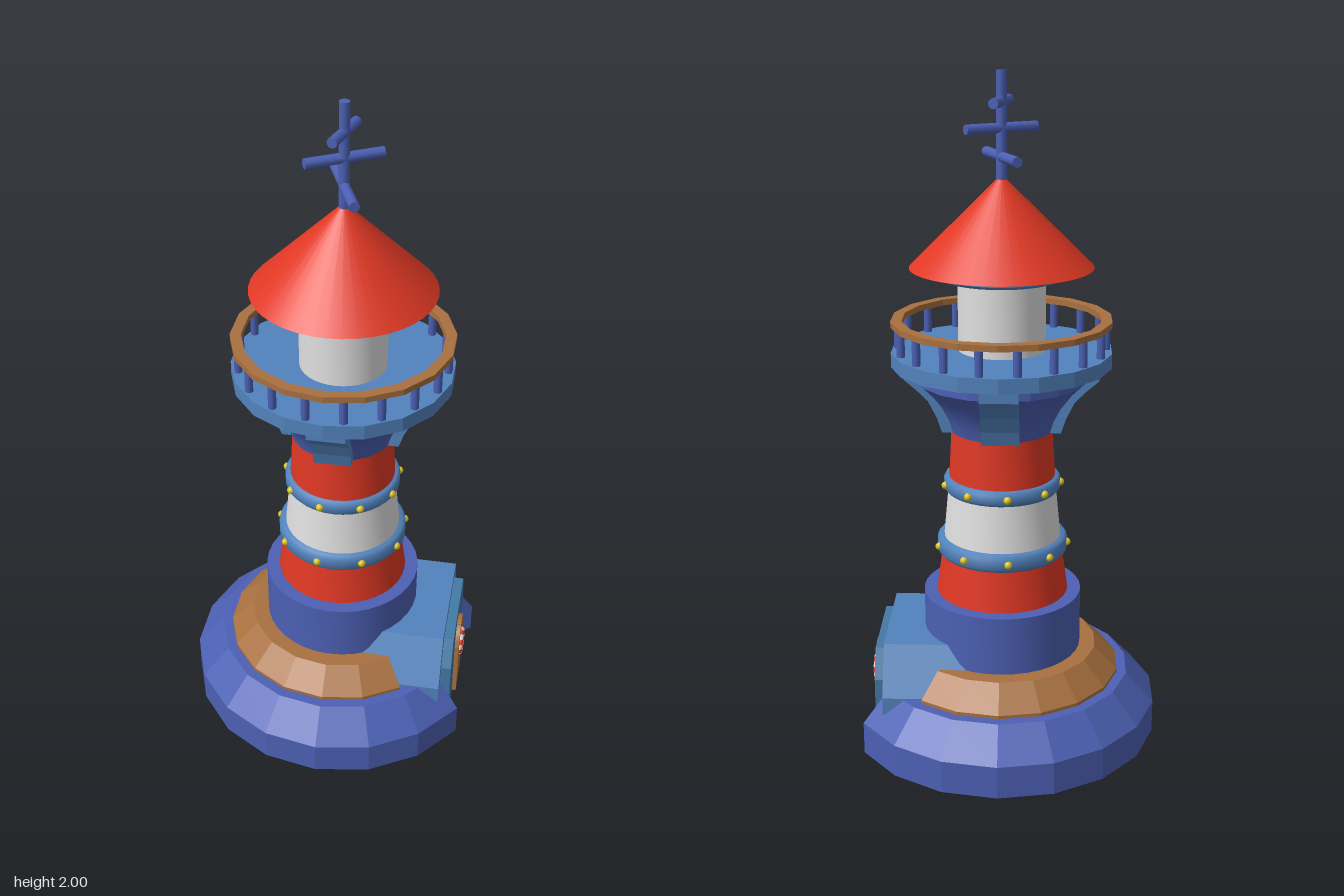
import * as THREE from 'three';
import { toCreasedNormals } from 'three/addons/utils/BufferGeometryUtils.js';

const mat = (name, color) => Object.assign(new THREE.MeshStandardMaterial({ color }), { name });
const M = {
  indigo: mat('indigo', 0x4c60b4),
  blue: mat('lightBlue', 0x5283bd),
  teal: mat('tealBlue', 0x447aa6),
  red: mat('red', 0xe03824),
  white: mat('white', 0xe0e0e0),
  wood: mat('wood', 0xa97140),
  yellow: mat('yellow', 0xd8c41e),
};
const FLAT = 0.2, SMOOTH = 0.5;
const rad = THREE.MathUtils.degToRad;
const vec = (pts) => pts.map(([x, y]) => new THREE.Vector2(x, y));

export function createModel() {
  const model = new THREE.Group();
  model.name = 'lighthouse';
  const tower = new THREE.Group();
  tower.name = 'tower';
  tower.position.x = 0.025;
  model.add(tower);

  const add = (name, geo, material, parent = tower) => {
    const mesh = new THREE.Mesh(geo, material);
    mesh.name = name;
    parent.add(mesh);
    return mesh;
  };
  const lathe = (name, pts, material, segs = 36, crease = SMOOTH, start = 0, length = 360) =>
    add(name, toCreasedNormals(
      new THREE.LatheGeometry(vec(pts), segs, rad(start), rad(length)), crease), material);

  // Ring with a gap facing +x, closed by a cap on each side of the gap
  const gappedRing = (name, pts, material, gap) => {
    const length = 360 - gap;
    lathe(name, pts, material, length / 20, FLAT, 90 + gap / 2, length);
    for (const s of [1, -1]) {
      const shape = new THREE.Shape(vec(pts.map(([r, y]) => [s * r, y])));
      const cap = add(name + 'Cap', new THREE.ShapeGeometry(shape), material);
      cap.rotation.y = s > 0 ? rad(gap / 2) : rad(180 - gap / 2);
    }
  };

  // Foundation
  gappedRing('base', [[0, 0], [0.475, 0], [0.475, 0.1], [0.39, 0.19], [0, 0.19]], M.indigo, 60);
  gappedRing('woodenStep', [[0, 0.185], [0.36, 0.185], [0.36, 0.2], [0.29, 0.27], [0, 0.27]], M.wood, 100);
  lathe('drum', [[0, 0.1], [0.24, 0.1], [0.24, 0.45], [0, 0.45]], M.indigo);

  // Striped shaft
  lathe('lowerStripe', [[0.2, 0.45], [0.178, 0.61]], M.red);
  lathe('middleStripe', [[0.178, 0.61], [0.16, 0.8]], M.white);
  lathe('upperStripe', [[0.16, 0.8], [0.15, 0.98]], M.red);

  // Bands with studs
  for (const [y, r, h] of [[0.603, 0.197, 0.027], [0.797, 0.175, 0.023]]) {
    lathe('band', [[0.15, y - h], [r - 0.008, y - h], [r, y - h + 0.01],
      [r, y + h - 0.01], [r - 0.008, y + h], [0.15, y + h]], M.blue, 36, 0.9);
    for (let i = 0; i < 9; i++) {
      const a = rad(27 + i * 40);
      const stud = add('stud', new THREE.SphereGeometry(0.012, 10, 8), M.yellow);
      stud.position.set(r * Math.sin(a), y, r * Math.cos(a));
    }
  }

  // Flared capital and its four brackets
  lathe('capital', [[0, 0.965], [0.155, 0.965], [0.165, 1.0], [0.185, 1.04], [0.215, 1.08],
    [0.255, 1.12], [0.255, 1.17], [0, 1.17]], M.indigo, 18, FLAT);
  const bracketShape = new THREE.Shape(vec([[0.12, 0.965], [0.175, 0.965], [0.19, 1.01],
    [0.215, 1.06], [0.25, 1.095], [0.285, 1.125], [0.285, 1.17], [0.12, 1.17]]));
  for (let i = 0; i < 4; i++) {
    const geo = new THREE.ExtrudeGeometry(bracketShape, { depth: 0.11, bevelEnabled: false });
    geo.translate(0, 0, -0.055);
    add('bracket', geo, M.blue).rotation.y = i * Math.PI / 2;
  }

  // Gallery
  lathe('deck', [[0, 1.163], [0.325, 1.163], [0.325, 1.207], [0, 1.207]], M.blue, 18, FLAT);
  for (let i = 0; i < 18; i++) {
    const a = rad(10 + i * 20);
    const post = add('railPost', new THREE.CylinderGeometry(0.012, 0.012, 0.085, 8), M.indigo);
    post.position.set(0.304 * Math.sin(a), 1.245, 0.304 * Math.cos(a));
  }
  lathe('handrail', [[0.292, 1.282], [0.324, 1.282], [0.324, 1.3], [0.292, 1.3], [0.292, 1.282]],
    M.wood, 18, FLAT);

  // Lantern room and roof
  lathe('lanternRoom', [[0.128, 1.2], [0.128, 1.43]], M.white);
  lathe('roofCollar', [[0, 1.42], [0.175, 1.42], [0.183, 1.428], [0.183, 1.455], [0, 1.455]], M.blue);
  add('roof', new THREE.ConeGeometry(0.267, 0.265, 40), M.red).position.y = 1.5825;

  // Mast with crossbars
  add('mast', new THREE.CylinderGeometry(0.015, 0.015, 0.32, 12), M.indigo).position.y = 1.84;
  for (const [y, length, dx, dz] of [[1.763, 0.26, 0.095, 0.24], [1.843, 0.225, 0.205, -0.12],
    [1.915, 0.155, 0.04, -0.15]]) {
    const bar = add('crossbar', new THREE.CylinderGeometry(0.015, 0.015, length, 10), M.indigo);
    bar.position.y = y;
    bar.quaternion.setFromUnitVectors(new THREE.Vector3(0, 1, 0),
      new THREE.Vector3(dx, 0, dz).normalize());
  }

  // Entrance porch, extruded along x
  const porch = new THREE.Group();
  porch.name = 'porch';
  model.add(porch);
  const prism = (name, pts, x0, x1, material) => {
    const geo = new THREE.ExtrudeGeometry(new THREE.Shape(vec(pts)),
      { depth: x1 - x0, bevelEnabled: false });
    geo.rotateY(Math.PI / 2).translate(x0, 0, 0);
    return add(name, geo, material, porch);
  };
  const mirrored = (half) => [...half, ...half.map(([z, y]) => [-z, y]).reverse()];
  prism('porchWalls', mirrored([[0.19, 0], [0.19, 0.22], [0.145, 0.305]]), 0.04, 0.405, M.teal);
  prism('porchRoof', mirrored([[0.185, 0.225], [0.258, 0.14], [0.258, 0.195], [0.18, 0.335]]),
    0.06, 0.375, M.blue);

  // Arched plank door
  for (const c of [-0.047, 0, 0.047]) {
    const pts = [[c - 0.0225, 0.005], [c + 0.0225, 0.005]];
    for (let i = 0; i <= 6; i++) {
      const z = c + 0.0225 - i * 0.0075;
      pts.push([z, 0.19 + Math.sqrt(Math.max(0, 0.0049 - z * z))]);
    }
    prism('doorPlank', pts, 0.4, 0.418, M.wood);
  }

  // Life ring on the door
  const ring = new THREE.Group();
  ring.name = 'lifeRing';
  ring.position.set(0.419, 0.167, 0);
  ring.rotation.y = Math.PI / 2;
  porch.add(ring);
  for (let i = 0; i < 16; i++) {
    const piece = new THREE.TorusGeometry(0.038, 0.009, 8, 2, Math.PI / 8);
    add('lifeRingPiece', piece, i % 2 ? M.white : M.red, ring).rotation.z = i * Math.PI / 8;
  }
  return model;
}
